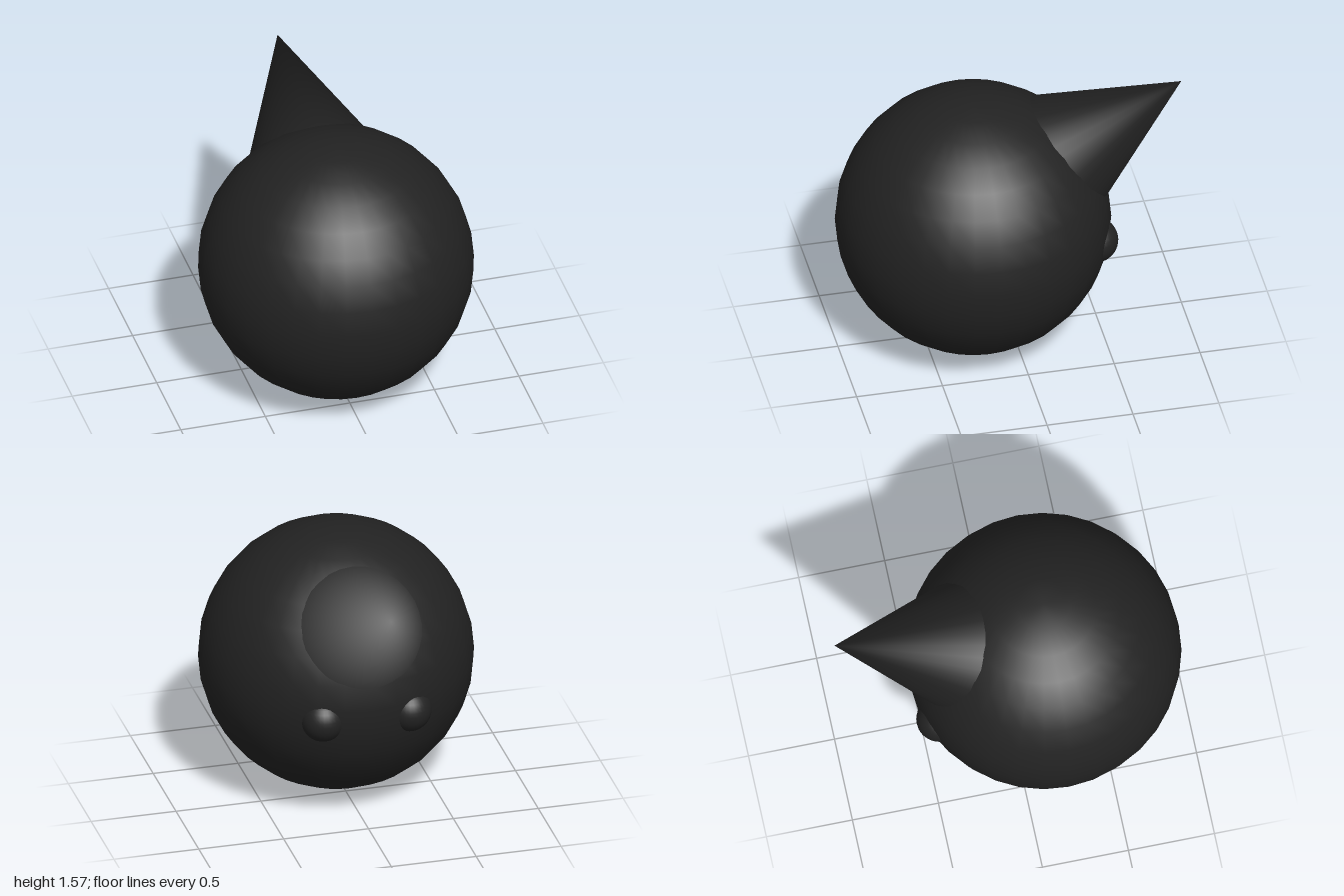
import * as THREE from 'three';
import { mergeVertices } from 'three/addons/utils/BufferGeometryUtils.js';

const charcoal = new THREE.MeshStandardMaterial({ color: 0x222222 });
charcoal.name = 'charcoal';

function addPart(group, name, geometry, x, y, z) {
  const mesh = new THREE.Mesh(geometry, charcoal);
  mesh.name = name;
  mesh.position.set(x, y, z);
  group.add(mesh);
  return mesh;
}

export function createModel() {
  const group = new THREE.Group();
  group.name = 'ballWithBeak';

  // Round body
  addPart(group, 'body', new THREE.SphereGeometry(0.787, 32, 16), 0, 0.787, 0.213);

  // Cone pointing back and up, its base sunk in the body; welded so the tip shades softly
  const height = 0.95;
  const tilt = THREE.MathUtils.degToRad(60.2);
  let cone = new THREE.ConeGeometry(0.453, height, 32, 1, true);
  cone.deleteAttribute('normal');
  cone.deleteAttribute('uv');
  cone = mergeVertices(cone);
  cone.computeVertexNormals();
  cone.translate(0, -height / 2, 0); // tip at the origin
  cone.rotateX(-tilt);
  addPart(group, 'beak', cone, 0, 1.555, -1);

  // Pair of small eyes under the cone
  for (const side of [1, -1]) {
    const name = side > 0 ? 'leftEye' : 'rightEye';
    addPart(group, name, new THREE.SphereGeometry(0.13, 32, 16), side * 0.253, 0.705, -0.445);
  }

  return group;
}
